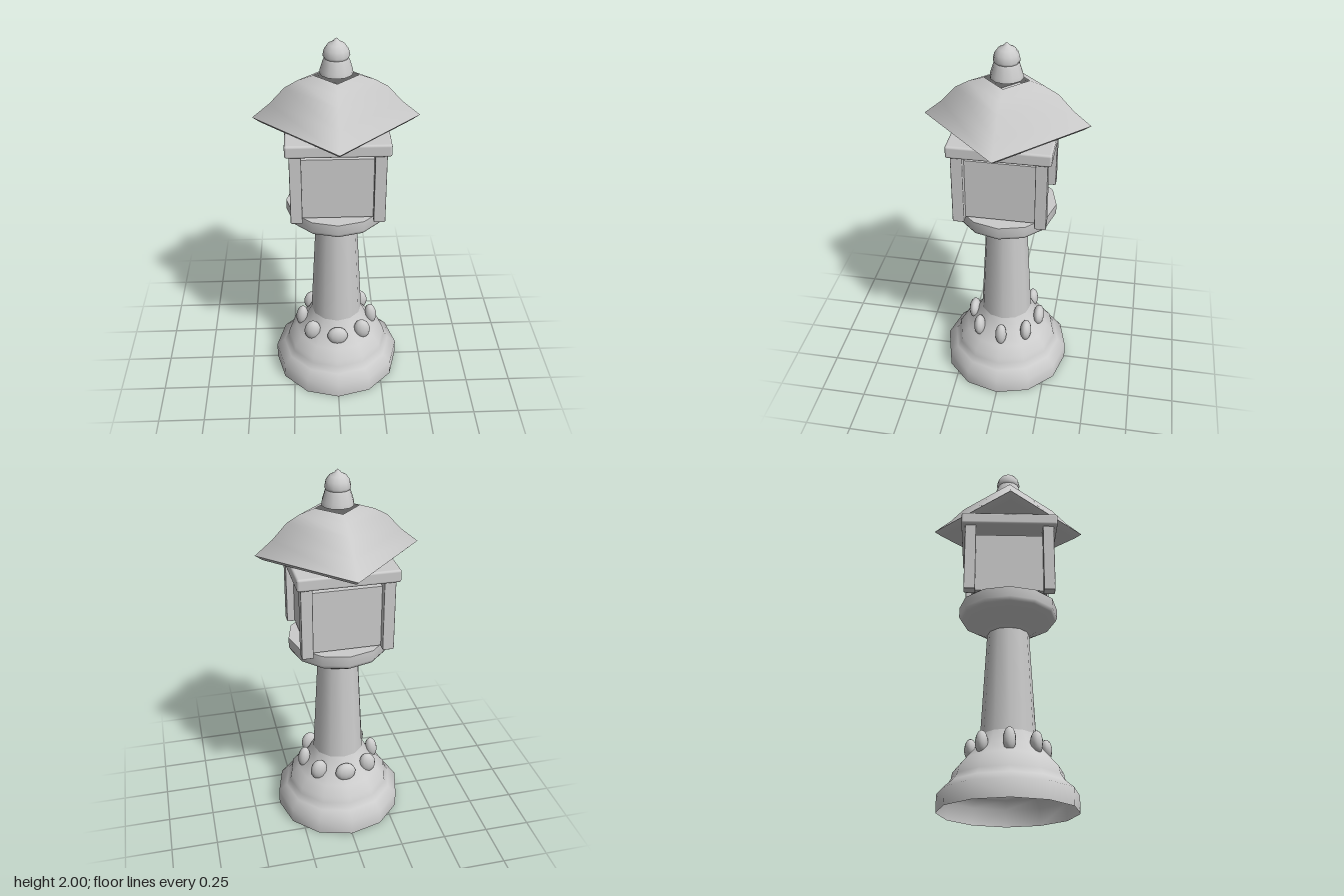
import * as THREE from 'three';
import { RoundedBoxGeometry } from 'three/addons/geometries/RoundedBoxGeometry.js';

export function createModel() {
  const model = new THREE.Group();
  model.name = 'stoneLantern';
  const stone = new THREE.MeshStandardMaterial({ color: 0xcccccc, side: THREE.DoubleSide });
  stone.name = 'stone';

  const add = (name, geometry, x = 0, y = 0, z = 0) => {
    const mesh = new THREE.Mesh(geometry, stone);
    mesh.name = name;
    mesh.position.set(x, y, z);
    model.add(mesh);
    return mesh;
  };
  const lathe = (points, sides) =>
    new THREE.LatheGeometry(points.map(([r, y]) => new THREE.Vector2(r, y)), sides);

  // Hollow stepped base
  add('base', lathe([[0.354, 0], [0.354, 0.09], [0.307, 0.13], [0.285, 0.165], [0.278, 0.2],
    [0.235, 0.25], [0.18, 0.31], [0.143, 0.385]], 12));

  // Tapering column flaring into a bowl
  add('column', lathe([[0.143, 0.385], [0.113, 0.947]], 12));
  add('bowl', lathe([[0.113, 0.947], [0.15, 0.975], [0.21, 1.007], [0.255, 1.035],
    [0.266, 1.055], [0.266, 1.11]], 12));
  add('bowlTop', new THREE.CircleGeometry(0.266, 12), 0, 1.11, 0).rotation.x = -Math.PI / 2;

  // Ring of eight egg-shaped petals around the foot of the column
  for (let i = 0; i < 8; i++) {
    const a = (i * Math.PI) / 4;
    const s = Math.sin(a), c = Math.cos(a), side = Math.abs(s);
    const petal = add('petal', new THREE.SphereGeometry(1, 12, 10), 0.2 * s, 0.315, 0.19 * c);
    petal.scale.set(0.058 - 0.024 * s * s, 0.055 + 0.009 * side, 0.032);
    if (i % 4) petal.rotation.z = -Math.sign(s) * -0.12;
  }

  // Light chamber with corner posts
  add('lightBox', new THREE.BoxGeometry(0.4, 0.335, 0.4), 0, 1.2875, 0);
  for (const x of [-0.21, 0.21])
    for (const z of [-0.21, 0.21])
      add('post', new RoundedBoxGeometry(0.06, 0.385, 0.06, 1, 0.005), x, 1.3025, z);
  add('ceilingSlab', new RoundedBoxGeometry(0.52, 0.066, 0.52, 2, 0.012), 0, 1.527, 0);

  // Four-sided roof with its corners on the axes
  add('roof', lathe([[0.42, 1.593], [0.33, 1.668], [0.255, 1.75], [0.19, 1.787],
    [0.112, 1.812]], 4));
  add('roofUnderside', lathe([[0.24, 1.56], [0.38, 1.566], [0.42, 1.593]], 4));

  // Finial
  add('finialBase', lathe([[0.083, 1.825], [0.08, 1.845], [0.066, 1.89], [0.06, 1.902]], 12));
  add('finialBud', lathe([[0.06, 1.902], [0.067, 1.915], [0.06, 1.945], [0.042, 1.97],
    [0.017, 1.983], [0.012, 1.99], [0, 2]], 12));
  return model;
}
